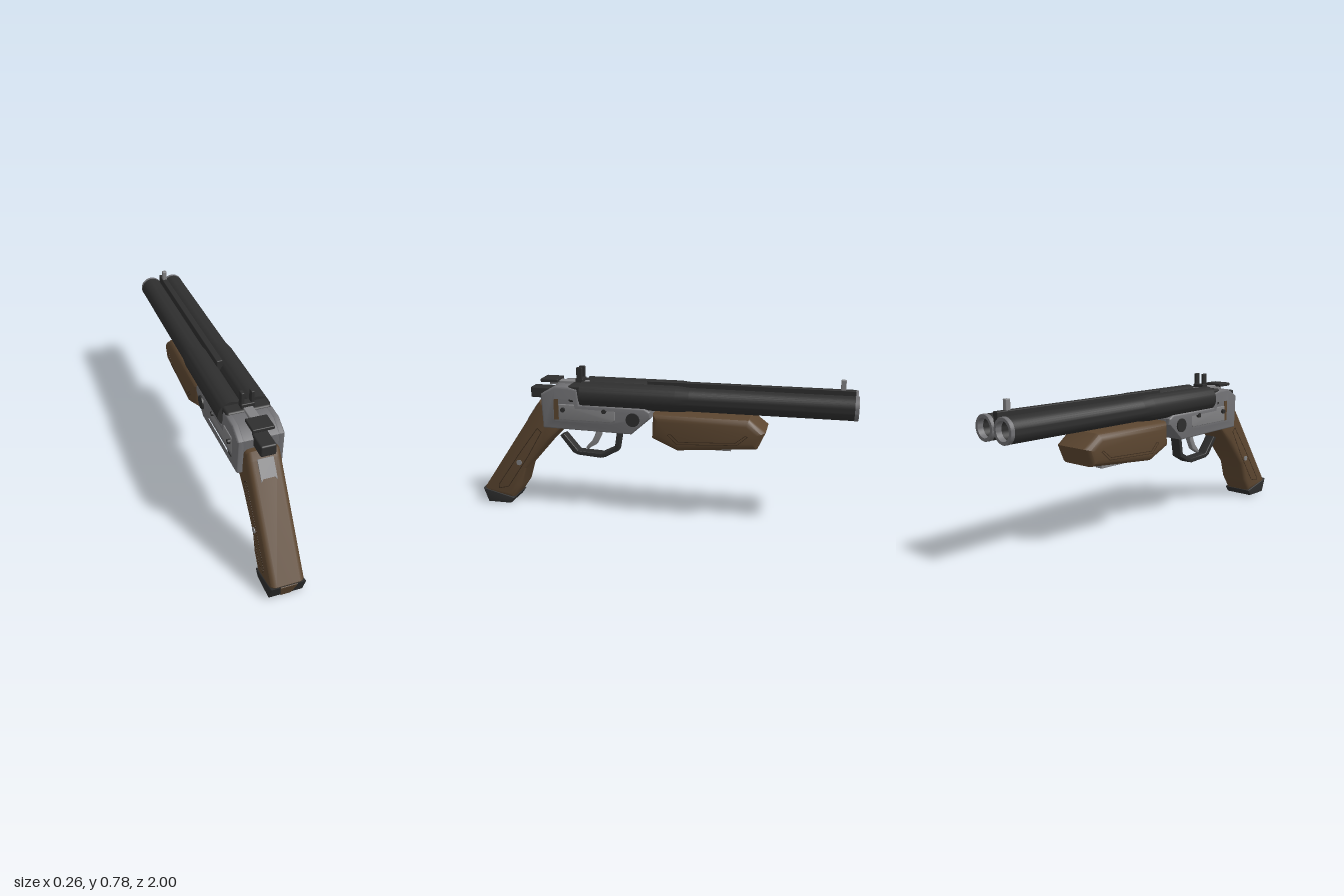
import * as THREE from 'three';
import { toCreasedNormals } from 'three/addons/utils/BufferGeometryUtils.js';
import { RoundedBoxGeometry } from 'three/addons/geometries/RoundedBoxGeometry.js';

const mat = (name, color, side = THREE.FrontSide) => new THREE.MeshStandardMaterial({ name, color, side });

export function createModel() {
  const model = new THREE.Group();
  const wood = mat('wood', 0x5c4630);
  const groove = mat('wood groove', 0x3a2b1d);
  const dark = mat('dark metal', 0x2e2e2e);
  const grey = mat('receiver grey', 0x707073);
  const steel = mat('steel', 0x828284);

  const add = (name, geometry, material, x = 0, y = 0, z = 0) => {
    const mesh = new THREE.Mesh(geometry, material);
    mesh.name = name;
    mesh.position.set(x, y, z);
    model.add(mesh);
    return mesh;
  };
  const path = (pts) => pts.map(([a, b]) => new THREE.Vector2(a, b));

  // Side profile of [z, y] points, extruded across x between two planes
  const profile = (pts, x0, x1, bevel = 0, hole = null) => {
    const shape = new THREE.Shape(path(pts));
    if (hole) shape.holes.push(new THREE.Path(path(hole)));
    const geo = new THREE.ExtrudeGeometry(shape, {
      depth: x1 - x0 - 2 * bevel, bevelEnabled: bevel > 0,
      bevelThickness: bevel, bevelSize: bevel, bevelOffset: -bevel, bevelSegments: 3,
    });
    geo.translate(0, 0, bevel - x1).rotateY(-Math.PI / 2);
    return toCreasedNormals(geo, 0.6);
  };
  const box = (name, m, x0, x1, y0, y1, z0, z1, r = 0.004) =>
    add(name, new RoundedBoxGeometry(x1 - x0, y1 - y0, z1 - z0, 2, r), m,
      (x0 + x1) / 2, (y0 + y1) / 2, (z0 + z1) / 2);
  // Turned part of [radius, z] points along the z axis
  const turned = (pts) =>
    toCreasedNormals(new THREE.LatheGeometry(path(pts), 40).rotateX(Math.PI / 2), 0.5);
  const pin = (name, m, r, x0, x1, y, z, sides = 20) =>
    add(name, new THREE.CylinderGeometry(r, r, x1 - x0, sides).rotateZ(Math.PI / 2), m, (x0 + x1) / 2, y, z);
  // Thin outline plate: a profile with a slightly shrunken copy cut out
  const outline = (pts, x0, x1, w) => {
    const p = path(pts);
    const n = p.length;
    const inner = p.map((v, i) => {
      const a = v.clone().sub(p[(i + n - 1) % n]).normalize();
      const b = p[(i + 1) % n].clone().sub(v).normalize();
      const s = Math.sign(THREE.ShapeUtils.area(p));
      const na = new THREE.Vector2(-a.y, a.x), nb = new THREE.Vector2(-b.y, b.x);
      const d = na.clone().add(nb).multiplyScalar(s * w / (1 + na.dot(nb)));
      return [v.x + d.x, v.y + d.y];
    });
    return profile(pts, x0, x1, 0, inner);
  };

  // Twin barrels with open bores and steel muzzle rings
  for (const s of [-1, 1]) {
    add('barrel', turned([[0, -0.3], [0.046, -0.3], [0.046, -0.99], [0.06, -0.99],
      [0.06, -0.17], [0.067, -0.1], [0.067, 0.405], [0, 0.405]]), dark, s * 0.065, 0.648, 0);
    add('muzzleRing', turned([[0.045, -0.97], [0.045, -1], [0.059, -1], [0.061, -0.997], [0.061, -0.98], [0.05, -0.98]]),
      grey, s * 0.065, 0.648, 0);
  }
  box('topRib', dark, -0.016, 0.016, 0.66, 0.724, -0.985, 0.065);
  box('lowerRib', dark, -0.014, 0.014, 0.6, 0.64, -0.97, 0.3);
  box('frontBead', steel, -0.012, 0.012, 0.715, 0.773, -0.935, -0.91);

  // Receiver core and framed side plates
  const body = [[0.62, 0.648], [0.612, 0.465], [0.13, 0.457], [0.025, 0.55], [0.03, 0.58],
    [0.06, 0.598], [0.41, 0.6], [0.42, 0.68], [0.47, 0.692], [0.545, 0.69]];
  const windowEdge = [[0.545, 0.497], [0.225, 0.497], [0.205, 0.515], [0.205, 0.584],
    [0.425, 0.588], [0.435, 0.635], [0.545, 0.635], [0.56, 0.62], [0.56, 0.512]];
  add('receiverCore', profile(body, -0.095, 0.095, 0.012), grey);
  for (const s of [-1, 1]) {
    const side = (a, b) => (s > 0 ? [a, b] : [-b, -a]);
    add('sideFrame', profile(body, ...side(0.08, 0.115), 0.009, windowEdge), grey);
    add('sidePlate', profile([[0.525, 0.512], [0.235, 0.512], [0.22, 0.525], [0.22, 0.595], [0.525, 0.595]],
      ...side(0.09, 0.106), 0.003), steel);
    add('woodInlay', profile([[0.555, 0.51], [0.53, 0.51], [0.53, 0.628], [0.555, 0.628]], ...side(0.09, 0.098)), wood);
    for (const [z, y] of [[0.5, 0.568], [0.275, 0.572]]) pin('platePin', dark, 0.012, ...side(0.09, 0.12), y, z);
    pin('hingePin', dark, 0.036, ...side(0.09, 0.123), 0.537, 0.12, 28);
  }

  // Breech block, top lever, rear sight and thumb piece
  box('breechBlock', dark, -0.11, 0.11, 0.61, 0.7, 0.395, 0.47, 0.012);
  box('topLever', steel, -0.024, 0.024, 0.682, 0.705, 0.39, 0.6);
  box('leverPad', dark, -0.053, 0.053, 0.698, 0.716, 0.545, 0.64);
  box('rearSightBase', dark, -0.034, 0.034, 0.695, 0.722, 0.41, 0.452);
  for (const s of [-1, 1]) box('rearSightPost', dark, s * 0.025 - 0.008, s * 0.025 + 0.008, 0.69, 0.78, 0.416, 0.447, 0.003);
  box('thumbPiece', dark, -0.038, 0.038, 0.608, 0.666, 0.56, 0.705, 0.008);

  // Trigger and guard
  add('triggerGuard', profile([[0.552, 0.4], [0.48, 0.308], [0.455, 0.297], [0.325, 0.288], [0.3, 0.294],
    [0.225, 0.335], [0.203, 0.465], [0.228, 0.465], [0.245, 0.352], [0.32, 0.313], [0.452, 0.32], [0.528, 0.41]],
  -0.03, 0.03, 0.004), dark);
  add('trigger', profile([[0.35, 0.465], [0.315, 0.465], [0.325, 0.41], [0.35, 0.36], [0.4, 0.33],
    [0.412, 0.338], [0.375, 0.38], [0.355, 0.42]], -0.015, 0.015, 0.004), steel);

  // Grip with dark butt cap
  add('grip', profile([[0.6, 0.6], [0.645, 0.602], [0.67, 0.565], [0.995, 0.085], [0.985, 0.05], [0.825, 0.03],
    [0.77, 0.11], [0.74, 0.21], [0.61, 0.36], [0.505, 0.468], [0.58, 0.5]], -0.085, 0.085, 0.028), wood);
  add('buttCap', profile([[1, 0.082], [0.972, 0.002], [0.84, 0.002], [0.815, 0.036]], -0.087, 0.087, 0.006), dark);
  // Wooden wedge on the sloping front of the cap
  const wedge = new THREE.Shape(path([[-0.026, 0], [0.026, 0], [0.042, 0.086], [-0.042, 0.086]]));
  add('capWedge', new THREE.ExtrudeGeometry(wedge, { depth: 0.004, bevelEnabled: false }), wood, 0, 0.002, 0.971)
    .rotation.x = Math.atan2(0.028, 0.08);
  // Notched steel tang plate lying on the sloping grip
  const tang = new THREE.Shape(path([[-0.039, -0.105], [-0.028, -0.092], [0.028, -0.092], [0.039, -0.105],
    [0.039, 0], [-0.039, 0]]));
  add('tangPlate', new THREE.ExtrudeGeometry(tang, { depth: 0.006, bevelEnabled: false }), steel, 0, 0.57, 0.667)
    .rotation.x = -Math.atan2(0.325, 0.48);

  // Fore-end with steel latch beneath
  add('foreEnd', profile([[0.02, 0.57], [-0.475, 0.57], [-0.56, 0.505], [-0.52, 0.415], [-0.11, 0.38], [0.025, 0.44]],
    -0.118, 0.118, 0.036), wood);
  box('foreEndLatch', steel, -0.022, 0.022, 0.373, 0.41, -0.38, -0.17);

  // Carved outlines on the wood and the grip screws
  for (const s of [-1, 1]) {
    const side = (a, b) => (s > 0 ? [a, b] : [-b, -a]);
    add('gripOutline', outline([[0.66, 0.452], [0.635, 0.43], [0.72, 0.285], [0.845, 0.1], [0.905, 0.085],
      [0.905, 0.11], [0.78, 0.29]], ...side(0.083, 0.0858), 0.004), groove);
    add('foreEndOutline', outline([[-0.06, 0.47], [-0.11, 0.42], [-0.42, 0.436], [-0.475, 0.485],
      [-0.46, 0.49], [-0.41, 0.45], [-0.12, 0.436], [-0.08, 0.475]], ...side(0.116, 0.1186), 0.003), groove);
    pin('gripScrew', steel, 0.015, ...side(0.08, 0.09), 0.247, 0.775);
  }
  return model;
}
